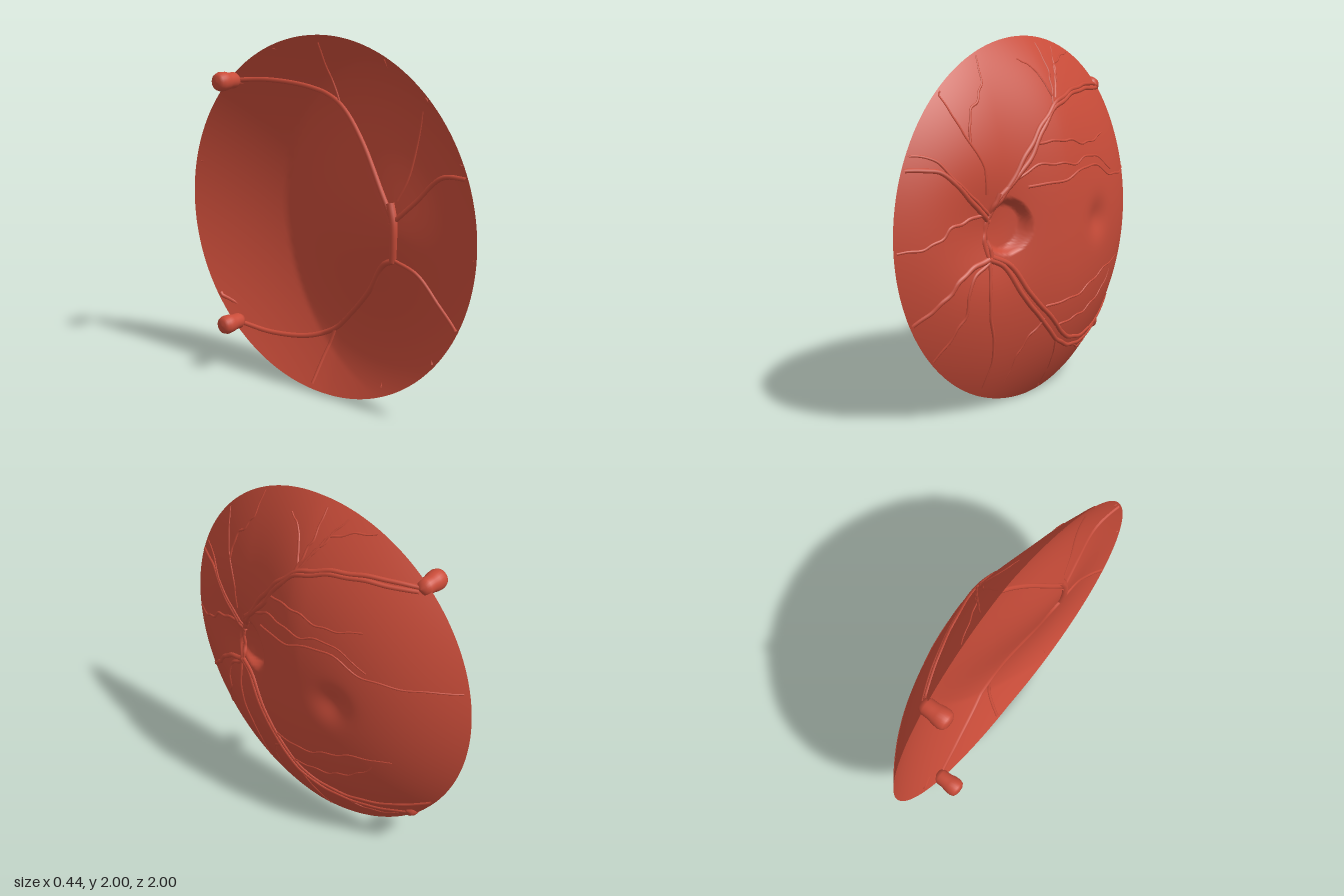
import * as THREE from 'three';

const smooth = THREE.MathUtils.smoothstep;

// Rim plane, bent slightly back on the +z side
const rimX = (z) => -0.08 - 0.04 * Math.max(0, z);
const radius = (z, y) => Math.min(1, Math.hypot(z, y - 1));

// Domed front with a shallow pit, and a hollow around a sharper round cup
function domeX(z, y) {
  const height = 0.3 - 0.066 * smooth(z, -0.1, 0.4);
  let x = rimX(z) + height * (1 - Math.pow(radius(z, y), 2.7));
  const pit = Math.hypot(z + 0.31, y - 0.99) / 0.095;
  x -= 0.03 * Math.exp(-pit * pit);
  const hollow = Math.hypot(z - 0.5, y - 1) / 0.24;
  x -= 0.055 * Math.exp(-hollow * hollow);
  const cup = Math.hypot(z - 0.37, y - 1.02) / 0.148;
  x -= 0.055 * (1 - smooth(cup, 0.78, 1)) * (1 - 0.8 * smooth(z, 0.3, 0.5));
  return x;
}

// Hollow back of the shell, running out to the rim plane behind the cup
function hollowX(z, y) {
  const d = Math.min(1, Math.hypot(z - 0.48, y - 1) / 0.92);
  return rimX(z) + 0.25 * (1 - Math.pow(radius(z, y), 2.1)) * Math.pow(d, 1.5);
}

// Round sheet made from concentric rings
function discGeometry(heightAt, rings, sides, facesFront) {
  const positions = [], index = [];
  for (let i = 0; i <= rings; i++) {
    const r = Math.sin((i / rings) * Math.PI / 2);
    for (let j = 0; j < sides; j++) {
      const a = (j / sides) * Math.PI * 2;
      const z = r * Math.cos(a), y = 1 + r * Math.sin(a);
      positions.push(heightAt(z, y), y, z);
      if (i === rings) continue;
      const p = i * sides + j, q = i * sides + (j + 1) % sides;
      const p2 = p + sides, q2 = q + sides;
      if (facesFront) index.push(p, q2, p2, p, q, q2);
      else index.push(p, p2, q2, p, q2, q);
    }
  }
  const g = new THREE.BufferGeometry();
  g.setAttribute('position', new THREE.Float32BufferAttribute(positions, 3));
  g.setIndex(index);
  g.computeVertexNormals();
  return g;
}

// Tapered tube laid over a surface along [z, y] points
function vesselGeometry(path, r0, r1, heightAt, lift, wiggle) {
  const flat = new THREE.CatmullRomCurve3(path.map(([z, y]) => new THREE.Vector3(0, y, z)), false, 'centripetal');
  const n = path.length * 9;
  const pts = flat.getSpacedPoints(n).map((p, i) => {
    const w = wiggle * Math.sin(i * 0.7 + path[0][0] * 20) * Math.sin((i / n) * Math.PI);
    p.y += w;
    p.z += w * 0.6;
    const r = Math.hypot(p.z, p.y - 1);
    if (r > 0.985) {
      p.z *= 0.985 / r;
      p.y = 1 + (p.y - 1) * 0.985 / r;
    }
    p.x = heightAt(p.z, p.y) + lift;
    return p;
  });
  const curve = new THREE.CatmullRomCurve3(pts);
  const sides = 8;
  const g = new THREE.TubeGeometry(curve, n, 1, sides, false);
  const pos = g.attributes.position, c = new THREE.Vector3(), v = new THREE.Vector3();
  for (let i = 0; i <= n; i++) {
    curve.getPointAt(i / n, c);
    const r = r0 + (r1 - r0) * (i / n);
    for (let j = 0; j <= sides; j++) {
      const k = i * (sides + 1) + j;
      v.fromBufferAttribute(pos, k).sub(c).multiplyScalar(r).add(c);
      pos.setXYZ(k, v.x, v.y, v.z);
    }
  }
  return g;
}

// Vessels that also show as ridges on the back
const upperArc = [[0.47, 1.08], [0.40, 1.18], [0.2, 1.45], [0.01, 1.63], [-0.18, 1.7], [-0.45, 1.73], [-0.65, 1.72]];
const lowerArc = [[0.48, 0.86], [0.4, 0.82], [0.28, 0.65], [0.11, 0.47], [-0.02, 0.35], [-0.2, 0.27], [-0.45, 0.25], [-0.65, 0.28]];
const upperSide = [[0.46, 1.05], [0.6, 1.18], [0.76, 1.33], [0.93, 1.35]];
const lowerSide = [[0.48, 0.86], [0.62, 0.81], [0.76, 0.67], [0.89, 0.56]];
const upperTwig = [[0.01, 1.64], [-0.05, 1.82], [-0.06, 1.96]];
const lowerTwig = [[-0.02, 0.35], [-0.07, 0.19], [-0.1, 0.03]];

// Thick vessels: two arcades, the trunk and the side branches
const mainVessels = [
  upperArc, lowerArc, upperSide, lowerSide,
  [[0.43, 1.17], [0.25, 1.34], [0.06, 1.58], [-0.07, 1.65], [-0.29, 1.7], [-0.65, 1.7]],
  [[0.42, 1.2], [0.46, 1.1], [0.5, 0.95], [0.48, 0.86]],
  [[0.44, 1.12], [0.48, 1.04], [0.47, 0.95], [0.46, 0.86]],
  [[0.46, 0.87], [0.36, 0.82], [0.23, 0.65], [0.03, 0.46], [-0.07, 0.37], [-0.29, 0.3], [-0.55, 0.325], [-0.82, 0.43]],
];

// Fine branches
const thinVessels = [
  [[0.47, 1.09], [0.68, 1.28], [0.79, 1.4], [0.91, 1.42]],
  [[0.5, 1.1], [0.7, 1.05], [0.82, 0.97], [0.99, 0.945]],
  [[0.46, 0.86], [0.6, 0.75], [0.62, 0.6], [0.74, 0.35]],
  [[0.48, 0.84], [0.48, 0.6], [0.4, 0.33], [0.39, 0.13]],
  upperTwig, lowerTwig,
  [[-0.02, 1.67], [-0.15, 1.85], [-0.37, 1.91]],
  [[-0.05, 1.72], [-0.2, 1.94]],
  [[0, 1.68], [0.06, 1.82], [0.15, 1.88]],
  [[0.5, 1.2], [0.52, 1.35], [0.6, 1.5], [0.67, 1.68], [0.7, 1.76]],
  [[0.58, 1.47], [0.55, 1.6], [0.44, 1.74], [0.4, 1.9]],
  [[0.11, 0.49], [0.22, 0.35], [0.25, 0.14]],
  [[-0.2, 0.27], [-0.45, 0.2], [-0.6, 0.24]],
  [[0.02, 0.43], [-0.29, 0.48], [-0.5, 0.6], [-0.54, 0.66]],
  [[0.12, 0.56], [-0.15, 0.59], [-0.4, 0.68], [-0.65, 0.72]],
  [[0.36, 1.24], [0.17, 1.33], [-0.07, 1.32], [-0.28, 1.35], [-0.5, 1.25]],
  [[0.25, 1.22], [0, 1.24], [-0.25, 1.3], [-0.5, 1.22], [-0.95, 1.22]],
  [[0.18, 1.44], [-0.02, 1.45], [-0.23, 1.42], [-0.45, 1.46]],
];

// Ridges on the back, each with its radius
const backVessels = [
  [upperArc, 0.017],
  [lowerArc, 0.017],
  [[[0.45, 1.16], [0.48, 1.06], [0.48, 0.95], [0.47, 0.85]], 0.026],
  [upperSide, 0.015],
  [lowerSide, 0.013],
  [[[0.49, 1.18], [0.55, 1.3], [0.6, 1.5], [0.635, 1.655]], 0.009],
  [upperTwig, 0.009],
  [lowerTwig, 0.012],
];

export function createModel() {
  const group = new THREE.Group();
  const red = new THREE.MeshStandardMaterial({ color: 0xc94c39 });
  red.name = 'tissueRed';
  const add = (name, geometry) => {
    const mesh = new THREE.Mesh(geometry, red);
    mesh.name = name;
    group.add(mesh);
    return mesh;
  };

  add('domedSurface', discGeometry(domeX, 110, 180, true));
  add('hollowBack', discGeometry(hollowX, 50, 180, false));

  mainVessels.forEach((path, i) =>
    add('mainVessel' + (i + 1), vesselGeometry(path, 0.017, 0.012, domeX, -0.004, 0.004)));
  thinVessels.forEach((path, i) => {
    const r = i < 4 ? 0.012 : 0.009;
    add('thinVessel' + (i + 1), vesselGeometry(path, r, r * 0.6, domeX, -0.003, 0.007));
  });
  backVessels.forEach(([path, r], i) =>
    add('backVessel' + (i + 1), vesselGeometry(path, r, r * 0.85, hollowX, 0.002, 0)));

  // Rounded vessel stumps standing out of the back near the rim
  const profile = [[0, -0.22], [0.03, -0.217], [0.047, -0.207], [0.055, -0.185], [0.053, -0.15], [0.046, -0.12], [0.046, -0.08], [0.034, -0.055], [0, -0.045]]
    .map(([r, x]) => new THREE.Vector2(r, x));
  for (const side of [-1, 1]) {
    const stump = add(side > 0 ? 'upperStump' : 'lowerStump', new THREE.LatheGeometry(profile, 28));
    stump.rotation.z = -Math.PI / 2;
    stump.position.set(0, 1.005 + side * 0.712, -0.66);
  }
  return group;
}
